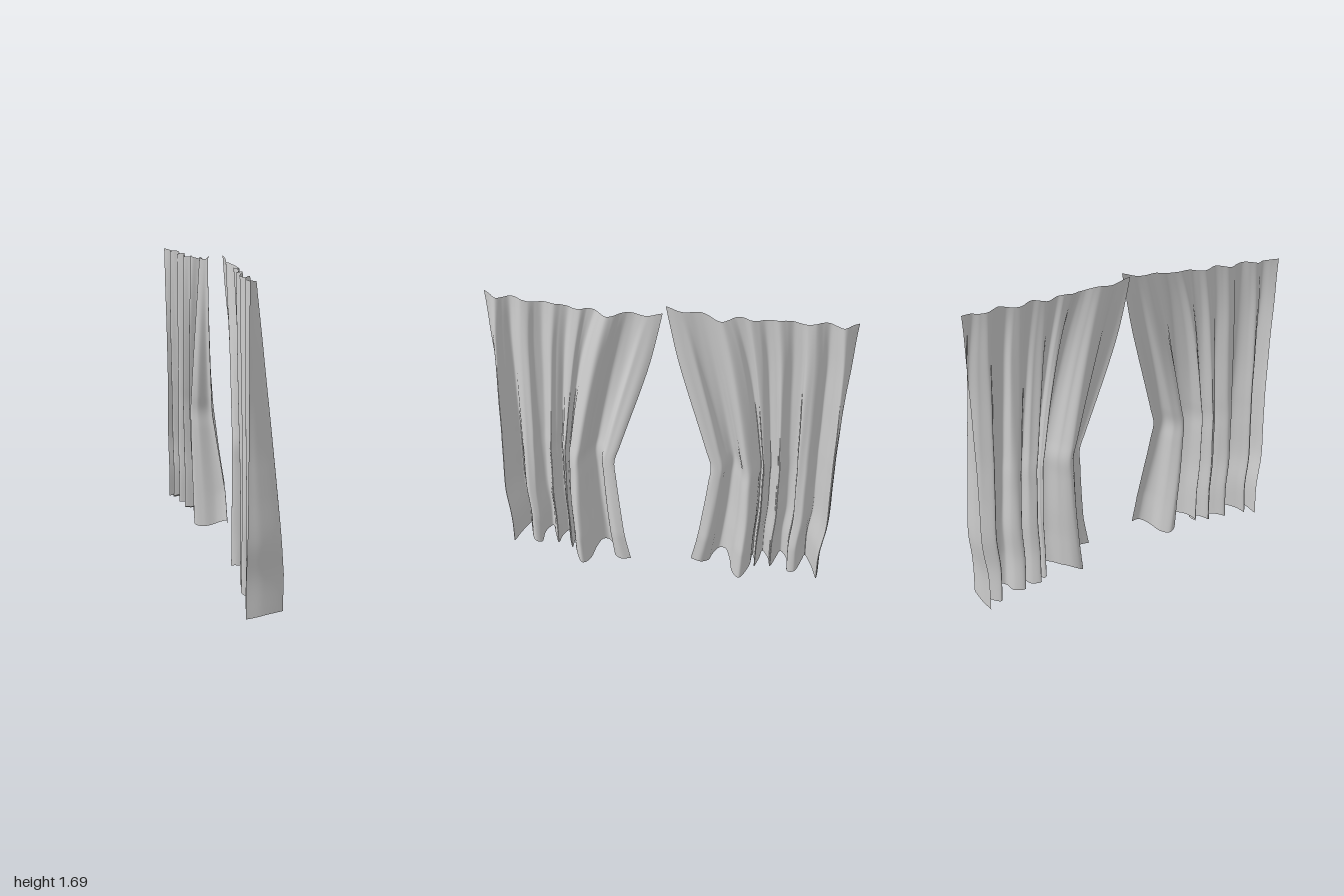
import * as THREE from 'three';

const V = (x, y, z) => new THREE.Vector3(x, y, z);

// Side outline of a panel: [inner edge, height, outer edge], from hem to rod
const outline = new THREE.CatmullRomCurve3([
  [0.18, 0, 0.945], [0.215, 0.2, 0.945], [0.24, 0.4, 0.97], [0.265, 0.62, 0.97],
  [0.275, 0.73, 0.97], [0.245, 0.83, 0.97], [0.19, 1.0, 0.975], [0.125, 1.2, 0.98],
  [0.065, 1.4, 0.99], [0.022, 1.57, 0.995], [0.003, 1.65, 1.0],
].map((p) => V(...p)), false, 'centripetal');

// Pleats along the hem: [distance along the wall, depth], outer edge to inner edge
const pleats = new THREE.CatmullRomCurve3([
  [0.945, 0], [0.95, 0.09], [0.937, 0.195], [0.91, 0.09], [0.87, 0.01], [0.85, 0.07],
  [0.805, 0.165], [0.765, 0.15], [0.76, 0.06], [0.72, 0.01], [0.69, 0.07], [0.66, 0.125],
  [0.645, 0.06], [0.61, 0.02], [0.59, 0.09], [0.565, 0.14], [0.56, 0.07], [0.55, 0.06],
  [0.535, 0.16], [0.48, 0.25], [0.435, 0.2], [0.41, 0.1], [0.38, 0.03], [0.34, 0.01],
  [0.305, 0.06], [0.285, 0.14], [0.24, 0.185], [0.18, 0.17],
].map(([u, d]) => V(u, d, 0)), false, 'centripetal');

const COLS = 260, ROWS = 70;

// One pleated cloth sheet; place(u, y, depth) sets each point in the room
function curtainPanel(name, place) {
  const positions = [], index = [];
  for (let j = 0; j <= ROWS; j++) {
    const o = outline.getPoint(j / ROWS);
    const v = o.y / 1.65;
    const toHem = 1 - v ** 3;
    // folds deepen towards the hem
    const deep = 1 - 0.78 * THREE.MathUtils.clamp((o.y - 0.2) / 1.45, 0, 1);
    const pull = 1 + 0.6 * Math.sin(Math.PI * v);
    for (let i = 0; i <= COLS; i++) {
      const t = i / COLS;
      const p = pleats.getPoint(t);
      const s = THREE.MathUtils.lerp(1 - t, (p.x - 0.18) / 0.765, toHem);
      const u = s * o.z + o.x * Math.max(0, 1 - s) ** pull;
      // the inner edge lies flat at the rod
      const flat = 1 - v * v * Math.max(0, 1 - s / 0.2) * 0.9;
      const crinkle = 0.005 * Math.sin(t * 95 + v * 3) * Math.sin(Math.PI * v);
      const depth = Math.max(0, p.y * deep * flat + crinkle);
      // wavy hem and scalloped heading
      const hem = (0.022 + 0.014 * Math.sin(t * 41) + 0.04 * Math.max(0, 1 - s / 0.15)) * Math.min(1, t * 8);
      const top = 0.007 * Math.cos(u * 31.4) + 0.03 * Math.max(0, 1 - u / 0.35) ** 1.5;
      const y = o.y + hem * Math.max(0, 1 - v * 3) + top * Math.max(0, v * 5 - 4);
      positions.push(...place(u, y, depth));
    }
  }
  for (let j = 0; j < ROWS; j++) {
    for (let i = 0; i < COLS; i++) {
      const a = j * (COLS + 1) + i, b = a + COLS + 1;
      index.push(a, a + 1, b, a + 1, b + 1, b);
    }
  }
  const geometry = new THREE.BufferGeometry();
  geometry.setAttribute('position', new THREE.Float32BufferAttribute(positions, 3));
  geometry.setIndex(index);
  geometry.computeVertexNormals();
  const mesh = new THREE.Mesh(geometry, new THREE.MeshStandardMaterial({ color: 0xcccccc, side: THREE.DoubleSide }));
  mesh.name = name;
  return mesh;
}

export function createModel() {
  const group = new THREE.Group();
  group.name = 'curtains';
  // straight panel
  group.add(curtainPanel('rearCurtain', (u, y, d) => [-0.08 + d, y, -u]));
  // mirrored panel, turned slightly away
  group.add(curtainPanel('frontCurtain', (u, y, d) => [-0.178 * u + d, y, u]));
  return group;
}
